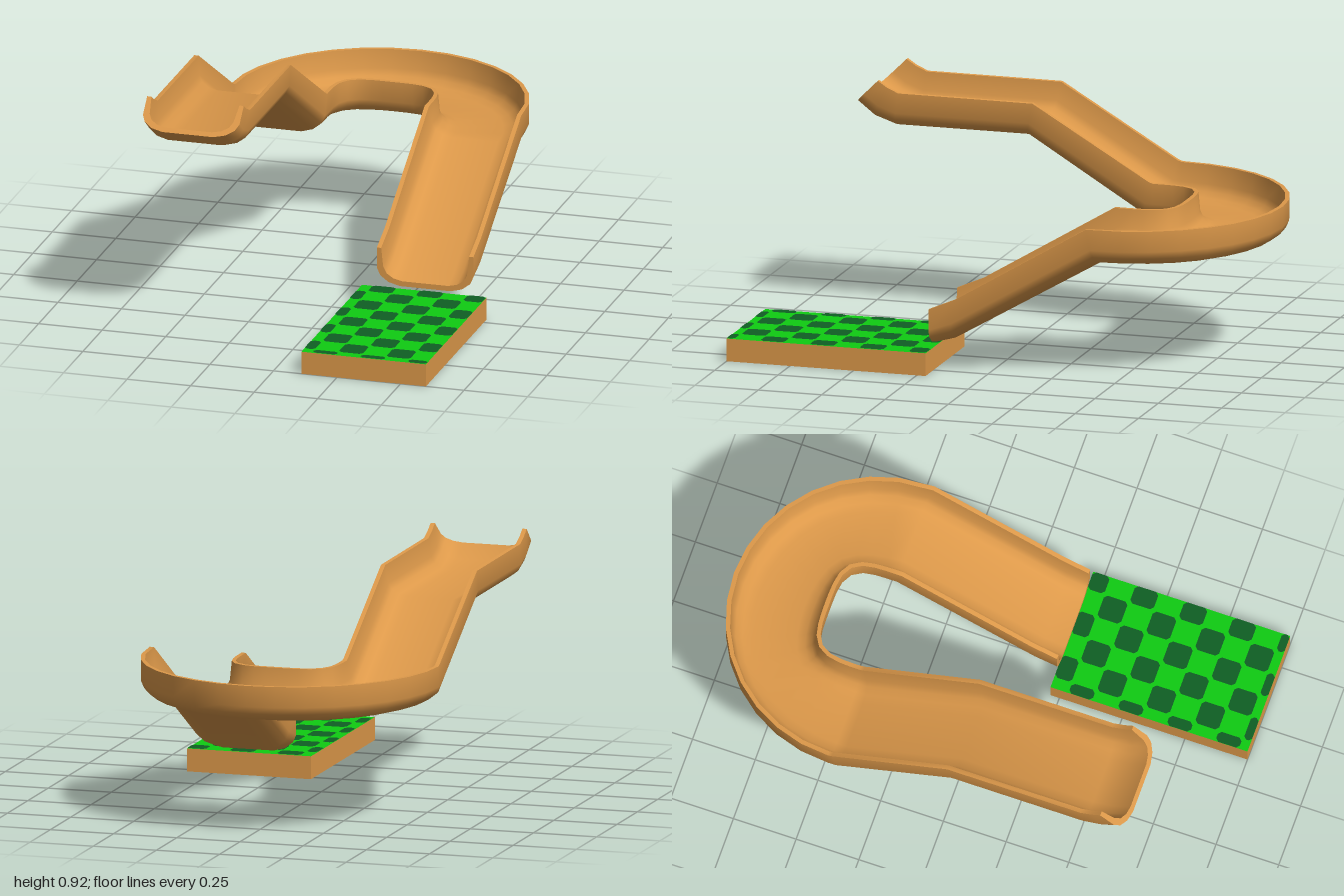
import * as THREE from 'three';
import { toCreasedNormals } from 'three/addons/utils/BufferGeometryUtils.js';

const CX = -0.025;            // middle of the U-turn
const TURN_Z = -0.425;
const OUTER = 0.575, INNER = 0.195;

// Trough section: [across, up], outer skin left to right, then inner skin back
const HEIGHT = 0.145;
const halfOut = [[-0.19, 0.145], [-0.19, 0.065], [-0.177, 0.036], [-0.145, 0.012], [-0.1, 0]];
const halfIn = [[-0.173, 0.145], [-0.165, 0.072], [-0.152, 0.046], [-0.125, 0.028], [-0.09, 0.02]];
const full = half => [...half, ...half.map(([a, b]) => [-a, b]).reverse()];
const section = [...full(halfOut), ...full(halfIn).reverse()];

// Straight stations: [floor z, floor y, rim z, rim y]
const upperRun = [
  [0.76, 0.82, 0.66, 0.92],
  [0.69, 0.765, 0.625, 0.897],
  [0.6, 0.735, 0.58, 0.877],
  [0.08, 0.735, 0.05, 0.876],
  [-0.38, 0.455, -0.41, 0.605],
];
const lowerRun = [
  [-0.43, 0.455, -0.4, 0.6],
  [0.14, 0.122, 0.12, 0.288],
  [0.22, 0.1, 0.22, 0.245],
];

// A ring of the trough between an outer and an inner plan position
function straightRing([fz, fy, rz, ry], side) {
  return section.map(([a, b]) => {
    const k = a / 0.38 + 0.5, v = b / HEIGHT;
    const r = OUTER + (INNER - OUTER) * k;
    return [CX + side * r, fy + (ry - fy) * v, fz + (rz - fz) * v];
  });
}

function turnRing(t) {
  const c = Math.cos(t), s = Math.sin(t);
  const inner = INNER / Math.pow(c ** 4 + s ** 4, 0.25);   // squarer inside bend
  return section.map(([a, b]) => {
    const r = OUTER + (inner - OUTER) * (a / 0.38 + 0.5);
    return [CX - r * c, 0.455 + b, TURN_Z - r * s];
  });
}

function troughGeometry() {
  const rings = upperRun.map(st => straightRing(st, -1));
  const steps = 16;
  for (let i = 0; i < steps; i++) rings.push(turnRing(Math.PI * i / steps));
  lowerRun.forEach(st => rings.push(straightRing(st, 1)));

  const n = section.length, index = [];
  for (let i = 0; i < rings.length - 1; i++) {
    for (let j = 0; j < n; j++) {
      const k = (j + 1) % n;
      const a = i * n + j, b = i * n + k, c = a + n, d = b + n;
      index.push(a, c, d, a, d, b);
    }
  }
  // end faces of the wall
  const last = (rings.length - 1) * n;
  for (let j = 0; j < n / 2 - 1; j++) {
    const p = j, q = j + 1, r = n - 2 - j, s = n - 1 - j;
    index.push(p, q, r, p, r, s);
    index.push(last + p, last + r, last + q, last + p, last + s, last + r);
  }
  const geo = new THREE.BufferGeometry();
  geo.setAttribute('position', new THREE.Float32BufferAttribute(rings.flat(2), 3));
  geo.setIndex(index);
  return toCreasedNormals(geo, 0.75);
}

// Small square with clipped corners lying flat
function tileGeometry(x0, x1, z0, z1) {
  const c = Math.min(0.012, (x1 - x0) / 3, (z1 - z0) / 3);
  const pts = [
    [x0 + c, z0], [x1 - c, z0], [x1, z0 + c], [x1, z1 - c],
    [x1 - c, z1], [x0 + c, z1], [x0, z1 - c], [x0, z0 + c],
  ].map(([x, z]) => new THREE.Vector2(x, -z));
  return new THREE.ShapeGeometry(new THREE.Shape(pts)).rotateX(-Math.PI / 2);
}

export function createModel() {
  const mat = (name, color) => {
    const m = new THREE.MeshStandardMaterial({ color });
    m.name = name;
    return m;
  };
  const wood = mat('warm wood', 0xdd994a);
  const green = mat('bright green', 0x0fcc12);
  const dark = mat('dark green', 0x0f5f24);

  const model = new THREE.Group();
  model.name = 'curvedSlide';

  const trough = new THREE.Mesh(troughGeometry(), wood);
  trough.name = 'slideTrough';
  model.add(trough);

  // Landing pad with a green top
  const X0 = 0.11, X1 = 0.6, Z0 = 0.215, Z1 = 1, H = 0.088;
  const pad = new THREE.Mesh(
    new THREE.BoxGeometry(X1 - X0, H, Z1 - Z0),
    [wood, wood, green, wood, wood, wood]);
  pad.position.set((X0 + X1) / 2, H / 2, (Z0 + Z1) / 2);
  pad.name = 'landingPad';
  model.add(pad);

  // Checker tiles, cut off at the pad edges
  const tiles = new THREE.Group();
  tiles.name = 'checkerTiles';
  const half = 0.047;
  for (let row = 0; row < 9; row++) {
    const z = 0.236 + row * 0.0975;
    for (let col = 0; col < 3; col++) {
      const x = (row % 2 ? 0.105 : 0.2) + col * 0.187;
      const tile = new THREE.Mesh(tileGeometry(
        Math.max(X0, x - half), Math.min(X1, x + half),
        Math.max(Z0, z - half), Math.min(Z1, z + half)), dark);
      tile.position.y = H + 0.002;
      tile.name = 'checkerTile';
      tiles.add(tile);
    }
  }
  model.add(tiles);
  return model;
}
